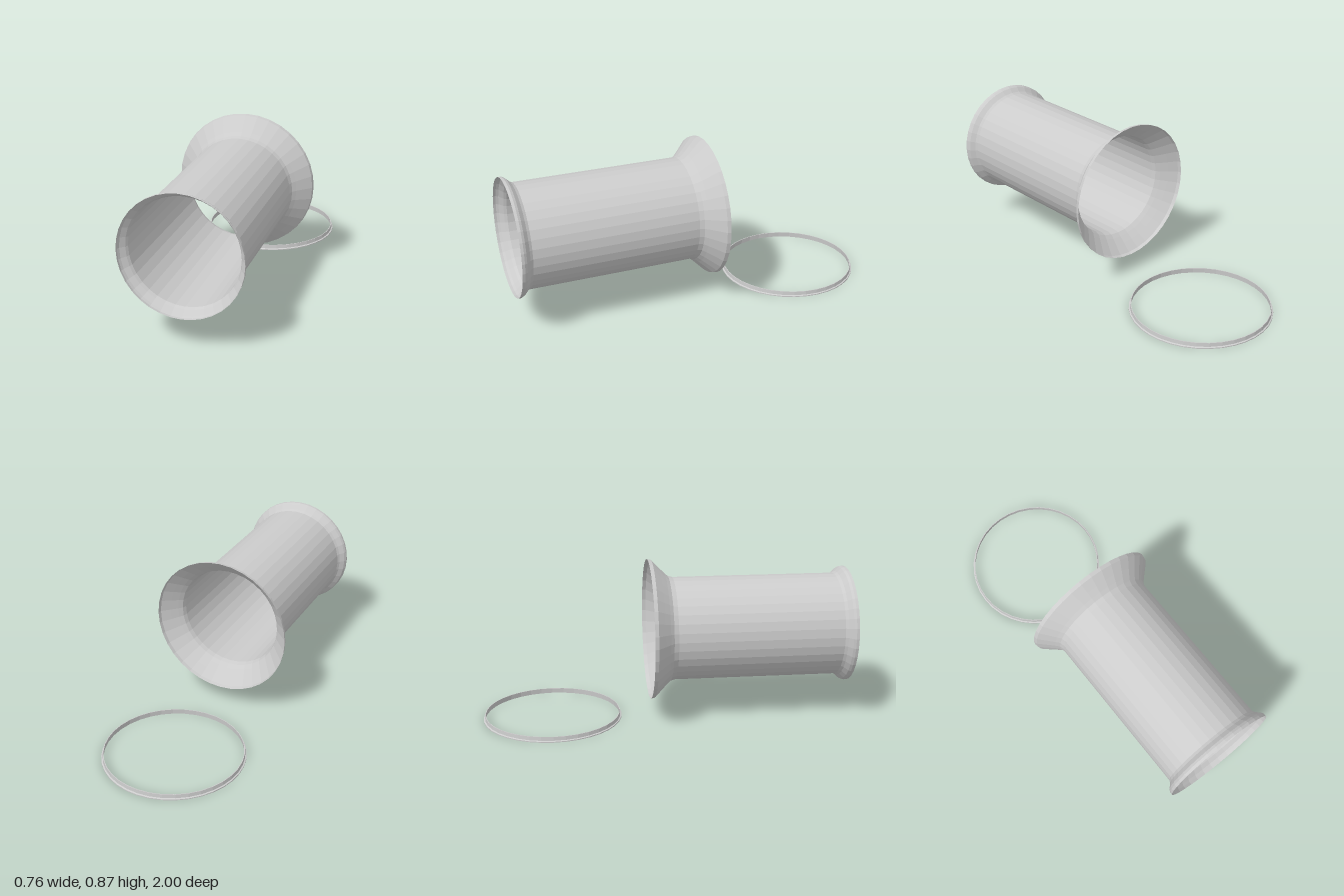
import * as THREE from 'three';

const SEGMENTS = 36;

// Thin shell of revolution from [radius, height] pairs
function shell(name, profile, material) {
  const points = profile.map(([r, h]) => new THREE.Vector2(r, h));
  const mesh = new THREE.Mesh(new THREE.LatheGeometry(points, SEGMENTS), material);
  mesh.name = name;
  return mesh;
}

export function createModel() {
  const model = new THREE.Group();
  model.name = 'flangedTubeAndRing';
  const material = new THREE.MeshStandardMaterial({
    color: 0xcccccc, flatShading: true, side: THREE.DoubleSide,
  });

  // Horizontal tube along z: wide flare at the back, small lip at the front
  const tube = new THREE.Group();
  tube.name = 'tube';
  tube.add(
    shell('backFlare', [[0.38, -0.09], [0.376, -0.07], [0.335, -0.03], [0.305, 0], [0.287, 0.02], [0.28, 0.045]], material),
    shell('barrel', [[0.28, 0.045], [0.28, 0.935]], material),
    shell('frontLip', [[0.28, 0.935], [0.288, 0.95], [0.31, 0.972], [0.316, 0.985], [0.316, 1]], material),
  );
  tube.rotation.x = Math.PI / 2;
  tube.position.y = 0.485;
  model.add(tube);

  // Loose ring lying flat behind the tube: base rim with a short upright wall
  const ring = shell('ring', [
    [0.368, 0], [0.379, 0], [0.379, 0.005], [0.372, 0.008],
    [0.37, 0.028], [0.366, 0.028], [0.368, 0],
  ], material);
  ring.position.z = -0.622;
  model.add(ring);

  return model;
}
